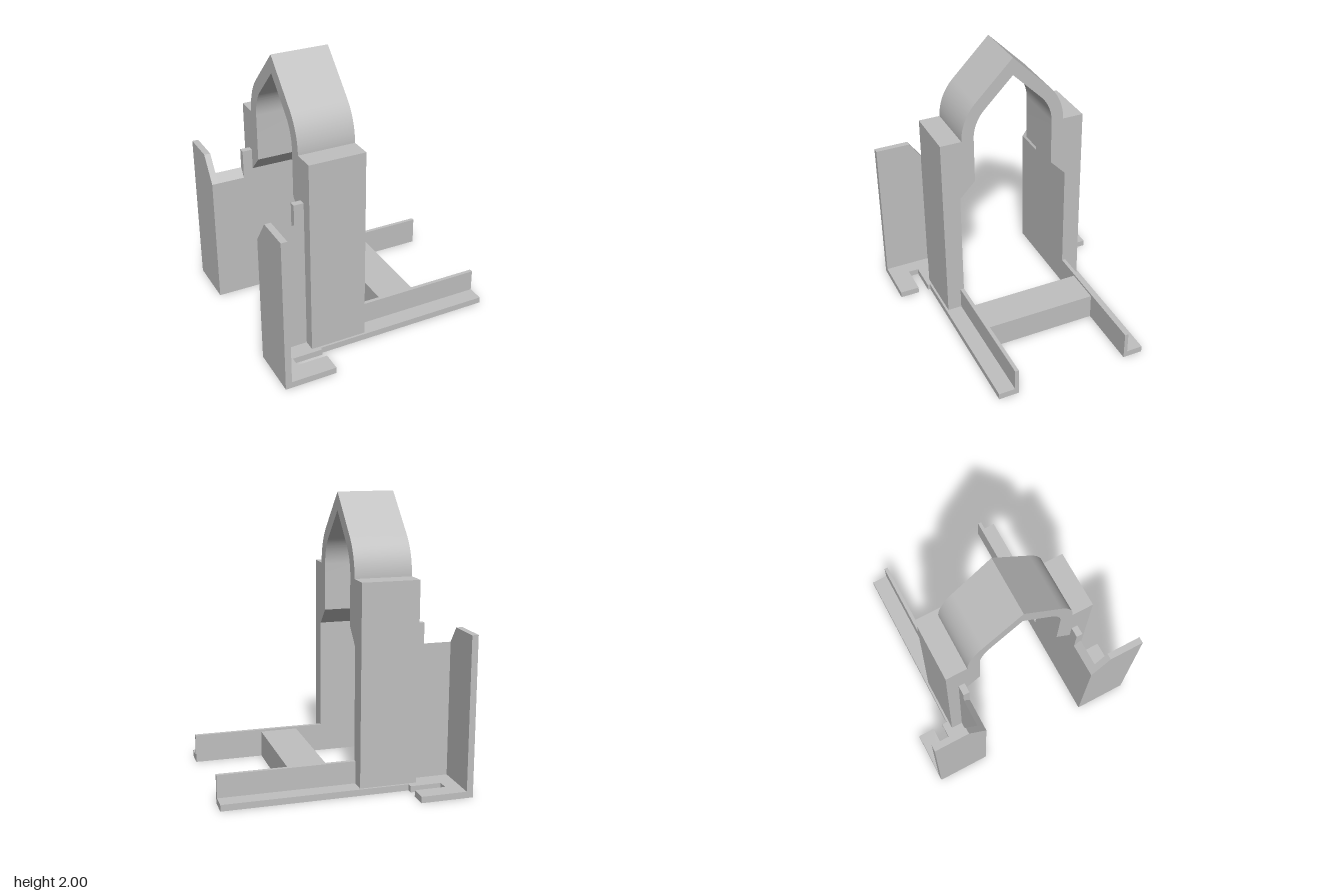
import * as THREE from 'three';
import { toCreasedNormals } from 'three/addons/utils/BufferGeometryUtils.js';

const stone = new THREE.MeshStandardMaterial({ color: 0xc0c0c0 });
stone.name = 'plainGrey';

const shapeOf = (pts) => new THREE.Shape(pts.map(([a, b]) => new THREE.Vector2(a, b)));

// Extrudes a (z, y) profile along x from x0 to x1
function alongX(shape, x0, x1) {
  const g = new THREE.ExtrudeGeometry(shape, { depth: x1 - x0, bevelEnabled: false, curveSegments: 24 });
  g.rotateY(Math.PI / 2);
  g.translate(x0, 0, 0);
  return toCreasedNormals(g, 0.4);
}

// Extrudes an (x, z) plan upwards from y0 to y1
function upwards(shape, y0, y1) {
  const g = new THREE.ExtrudeGeometry(shape, { depth: y1 - y0, bevelEnabled: false });
  g.rotateX(Math.PI / 2);
  g.translate(0, y1, 0);
  return g;
}

function box(x0, x1, y0, y1, z0, z1) {
  const g = new THREE.BoxGeometry(x1 - x0, y1 - y0, Math.abs(z1 - z0));
  g.translate((x0 + x1) / 2, (y0 + y1) / 2, (z0 + z1) / 2);
  return g;
}

export function createModel() {
  const model = new THREE.Group();
  model.name = 'archFrame';
  const add = (name, geometry, parent = model) => {
    const mesh = new THREE.Mesh(geometry, stone);
    mesh.name = name;
    parent.add(mesh);
  };

  const T = 0.045; // base plate thickness
  const spring = 1.455, outer = 0.385, inner = 0.295;
  const q = Math.PI / 4;

  // Pointed arch with stepped jambs
  const arch = new THREE.Shape();
  arch.moveTo(0.41, T);
  arch.lineTo(0.54, T);
  arch.lineTo(0.54, spring);
  arch.lineTo(outer, spring);
  arch.absarc(0, spring, outer, 0, q, false);
  arch.lineTo(0, spring + outer * Math.SQRT2);
  arch.absarc(0, spring, outer, 3 * q, 4 * q, false);
  arch.lineTo(-0.54, spring);
  arch.lineTo(-0.54, T);
  arch.lineTo(-0.41, T);
  arch.lineTo(-0.41, 1.0);
  arch.lineTo(-inner, 1.12);
  arch.lineTo(-inner, spring);
  arch.absarc(0, spring, inner, 4 * q, 3 * q, true);
  arch.lineTo(0, spring + inner * Math.SQRT2);
  arch.absarc(0, spring, inner, q, 0, true);
  arch.lineTo(inner, 1.12);
  arch.lineTo(0.41, 1.0);
  add('arch', alongX(arch, -0.53, -0.125));

  // Cross bar joining the two rails
  add('crossBar', box(0.07, 0.34, 0, 0.19, -0.41, 0.41));

  for (const s of [1, -1]) {
    const side = new THREE.Group();
    side.name = s > 0 ? 'frontSide' : 'backSide';
    model.add(side);
    // the slot sits slightly further out on the back side
    const slot = s > 0 ? 0.575 : 0.595;
    const zy = (pts) => shapeOf(pts.map(([z, y]) => [-s * z, y]));

    // Rail base and slotted foot in one plate
    add('basePlate', upwards(shapeOf([
      [-0.84, 0.41], [0.835, 0.41], [0.835, 0.556], [-0.47, 0.556], [-0.47, slot],
      [-0.69, slot], [-0.69, slot + 0.075], [-0.47, slot + 0.075], [-0.47, 0.792], [-0.84, 0.792],
    ].map(([x, z]) => [x, s * z])), 0, T), side);

    // Upright flange of the rail
    add('railFlange', box(-0.125, 0.835, T, 0.205, s * 0.41, s * 0.437), side);

    // End wall and side wall, cut by the same sloping plane
    add('endWall', alongX(zy([[0.41, T], [0.792, T], [0.792, 1.12], [0.54, 1.12], [0.41, 0.94]]),
      -0.84, -0.795), side);
    add('sideWall', alongX(zy([[0.41, T], [0.455, T], [0.455, 1.003], [0.41, 0.94]]),
      -0.795, -0.6), side);
    add('sideWallPost', box(-0.6, -0.53, T, 1.147, s * 0.41, s * 0.455), side);
  }
  return model;
}
